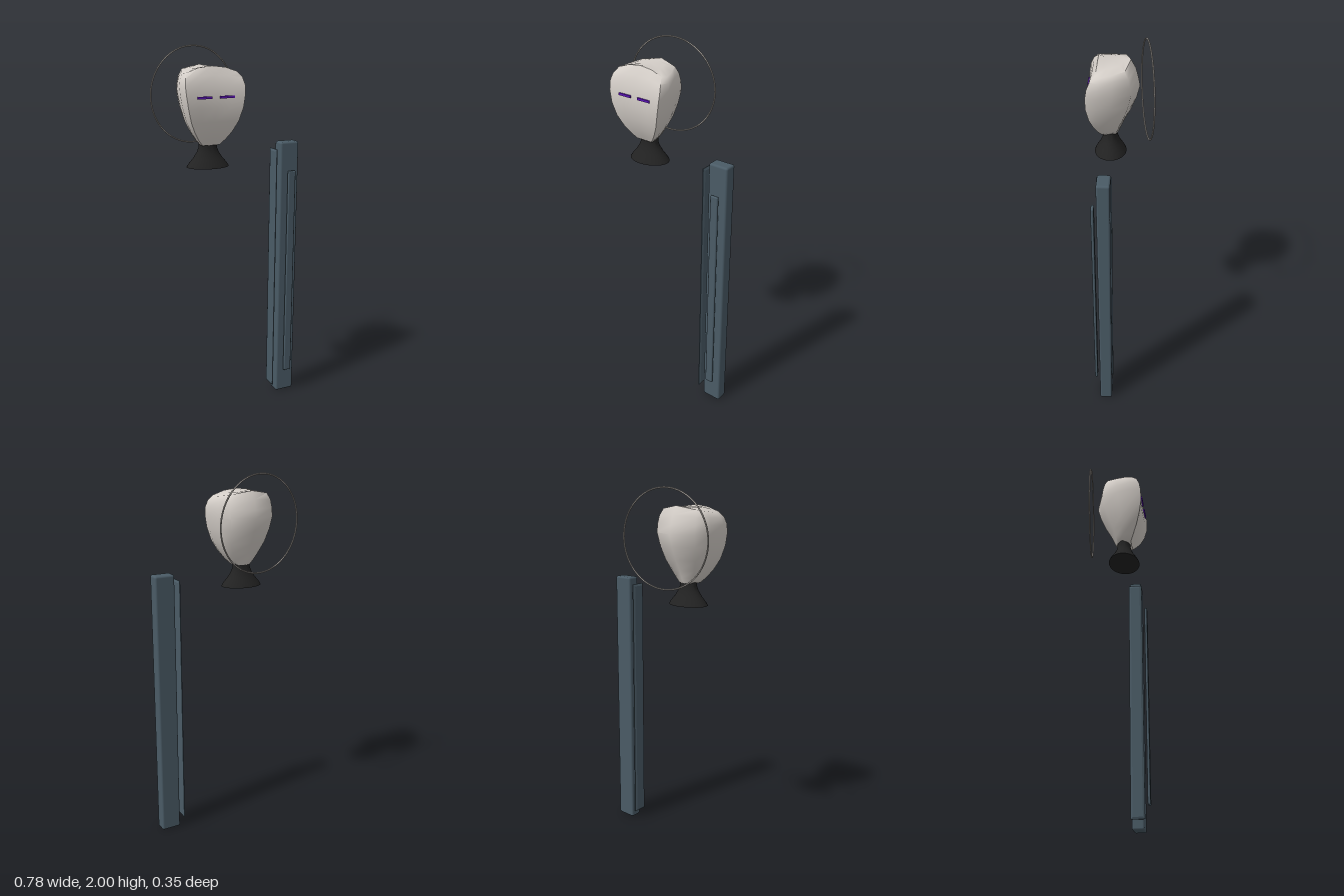
import * as THREE from 'three';
import { toCreasedNormals } from 'three/addons/utils/BufferGeometryUtils.js';
import { RoundedBoxGeometry } from 'three/addons/geometries/RoundedBoxGeometry.js';

const mat = (name, color, side = THREE.FrontSide) => {
  const m = new THREE.MeshStandardMaterial({ color, side });
  m.name = name;
  return m;
};

// Head: rings stacked bottom to top, each [y, half width, front z, back z, drop at sides]
function headGeometry() {
  const rows = [
    [1.505, 0.05, 0.1, 0.01, 0],
    [1.535, 0.08, 0.118, -0.002, 0],
    [1.575, 0.11, 0.138, -0.02, 0],
    [1.63, 0.14, 0.158, -0.05, 0],
    [1.7, 0.161, 0.172, -0.08, 0],
    [1.765, 0.172, 0.172, -0.097, 0],
    [1.81, 0.174, 0.164, -0.088, 0],
    [1.86, 0.166, 0.148, -0.075, 0.015],
    [1.905, 0.148, 0.12, -0.05, 0.035],
    [1.9, 0.085, 0.085, -0.015, 0.008],
    [1.898, 0, 0.035, 0.035, 0],
  ];
  // Half outline from front middle round to back middle: [width share, depth share]
  const half = [[0, 0.97], [0.5, 0.975], [0.93, 1], [1, 0.8], [0.9, 0.5], [0.73, 0.16], [0, 0]];
  const mirrored = half.slice(1, -1).reverse().map(([x, d]) => [-x, d]);
  const ring = [...half, ...mirrored];
  const n = ring.length;
  const pos = [];
  const index = [];
  for (const [y, w, front, back, drop] of rows) {
    for (const [x, d] of ring) pos.push(x * w, y - drop * x * x, back + (front - back) * d);
  }
  for (let i = 0; i < rows.length - 1; i++) {
    for (let j = 0; j < n; j++) {
      const a = i * n + j, b = i * n + (j + 1) % n;
      index.push(a, b, b + n);
      if (i < rows.length - 2) index.push(a, b + n, a + n);
    }
  }
  // Close the chin
  for (let j = 1; j < n - 1; j++) index.push(0, j + 1, j);
  const g = new THREE.BufferGeometry();
  g.setAttribute('position', new THREE.Float32BufferAttribute(pos, 3));
  g.setIndex(index);
  return toCreasedNormals(g, 0.98);
}

export function createModel() {
  const model = new THREE.Group();
  const bone = mat('bone', 0xd4cec8);
  const ringGrey = mat('ring grey', 0xa5a09b);
  const black = mat('black', 0x222222, THREE.DoubleSide);
  const violet = mat('violet', 0x5a12b4);
  const slate = mat('slate', 0x4a5b66);

  const add = (name, geometry, material, x, y, z, parent = model) => {
    const mesh = new THREE.Mesh(geometry, material);
    mesh.name = name;
    mesh.position.set(x, y, z);
    parent.add(mesh);
    return mesh;
  };

  const bust = new THREE.Group();
  bust.name = 'bust';
  bust.position.x = -0.135;
  model.add(bust);

  add('head', headGeometry(), bone, 0, 0, 0, bust);

  // Slit eyes
  for (const s of [-1, 1]) {
    add(s > 0 ? 'leftEye' : 'rightEye', new THREE.BoxGeometry(0.077, 0.012, 0.009), violet,
      s * 0.061, 1.754, 0.168, bust);
  }

  // Flared neck, oval in plan
  const profile = [[0, 0], [0.115, 0], [0.105, 0.016], [0.08, 0.045], [0.06, 0.075], [0.05, 0.1], [0.049, 0.13]]
    .map(([r, y]) => new THREE.Vector2(r, y));
  const neck = add('neck', toCreasedNormals(new THREE.LatheGeometry(profile, 32), 0.9), black, 0, 1.388, 0.055, bust);
  neck.scale.z = 0.74;

  // Thin ring floating behind the head
  const halo = add('halo', new THREE.TorusGeometry(0.253, 0.0042, 8, 72), ringGrey, 0, 1.743, -0.136, bust);
  halo.rotation.y = 0.14;

  // Tall post with a narrow front panel
  add('post', new RoundedBoxGeometry(0.111, 1.49, 0.068, 3, 0.011), slate, 0.333, 0.746, 0.064);
  add('frontPanel', new RoundedBoxGeometry(0.045, 1.195, 0.016, 3, 0.007), slate, 0.334, 0.738, 0.121);

  // Thin blade beside the post, bevelled to its edges
  const h = 0.69, w = 0.027;
  const outline = new THREE.Shape([[-w, -h], [w, -h], [w, h], [-w, h]].map(([x, y]) => new THREE.Vector2(x, y)));
  const bladeGeometry = new THREE.ExtrudeGeometry(outline, {
    depth: 0.004, bevelEnabled: true, bevelThickness: 0.005, bevelSize: 0.012, bevelSegments: 1,
  });
  bladeGeometry.translate(0, 0, -0.002);
  bladeGeometry.rotateY(Math.PI / 2);
  add('sideBlade', bladeGeometry, slate, 0.25, 0.753, 0.067);

  return model;
}
